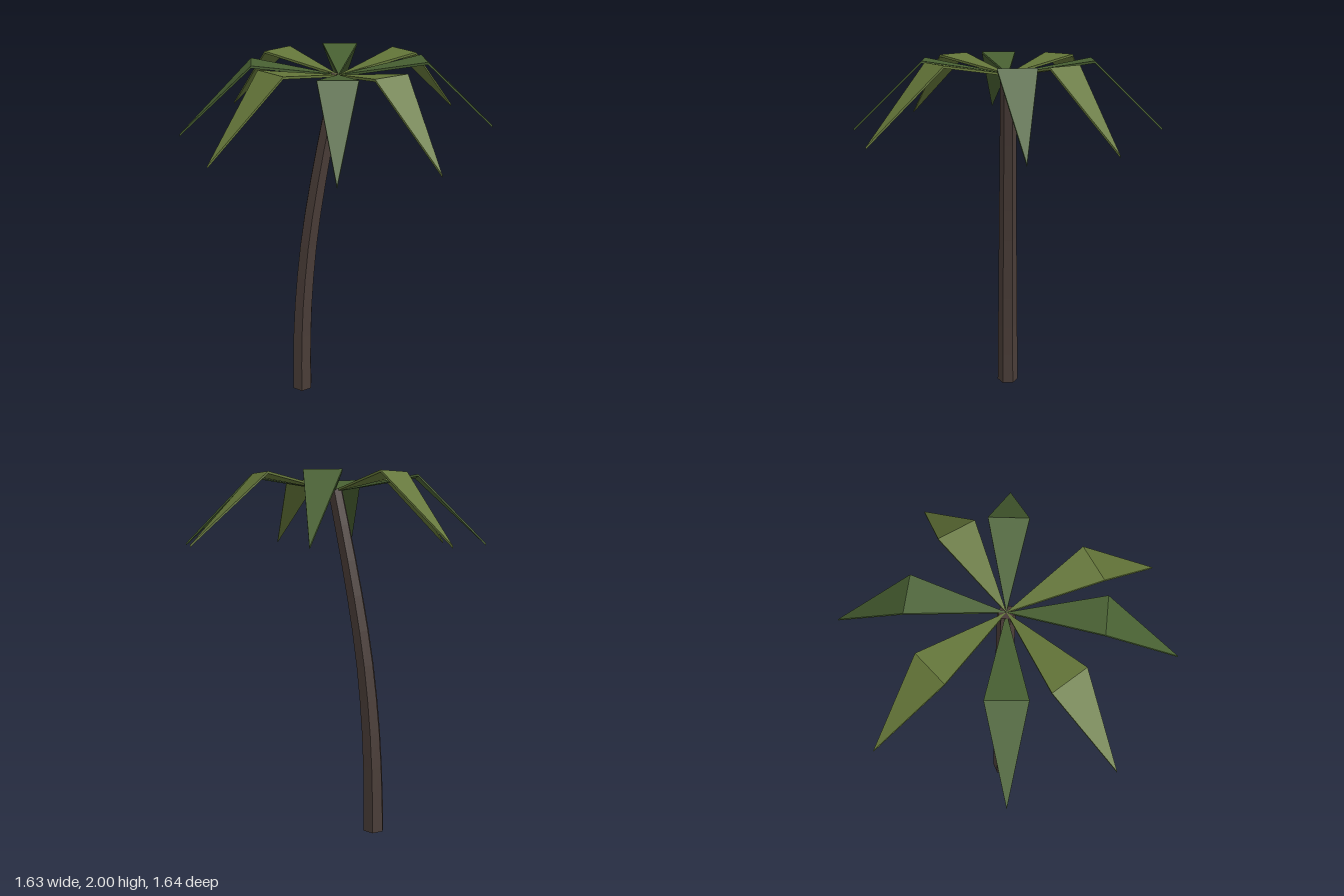
import * as THREE from 'three';

const bark = new THREE.MeshStandardMaterial({ name: 'bark', color: 0x4a3d38, flatShading: true });
const darkGreen = new THREE.MeshStandardMaterial({ name: 'darkGreen', color: 0x486032, flatShading: true });
const olive = new THREE.MeshStandardMaterial({ name: 'oliveGreen', color: 0x647639, flatShading: true });

// Hexagonal trunk: a straight tapered cylinder bent along a curve
function makeTrunk() {
  const curve = new THREE.CatmullRomCurve3([
    [-0.225, 0], [-0.219, 0.3], [-0.204, 0.6], [-0.165, 1.0], [-0.102, 1.4], [-0.035, 1.75], [0, 1.925],
  ].map(([x, y]) => new THREE.Vector3(x, y, 0)));
  const geo = new THREE.CylinderGeometry(0.041, 0.063, 1, 6, 10);
  const pos = geo.attributes.position;
  for (let i = 0; i < pos.count; i++) {
    const t = THREE.MathUtils.clamp(pos.getY(i) + 0.5, 0, 1);
    const p = curve.getPointAt(t);
    const d = curve.getTangentAt(t);
    const x = pos.getX(i);
    pos.setXYZ(i, p.x + x * d.y, Math.max(0, p.y - x * d.x), pos.getZ(i));
  }
  geo.computeVertexNormals();
  const trunk = new THREE.Mesh(geo, bark);
  trunk.name = 'trunk';
  return trunk;
}

// Thin kite-shaped leaf along +x, rising to a fold and then dropping to a point
function makeLeafGeometry() {
  const thickness = 0.012;
  const top = [[0, 1.925, 0], [0.437, 2, 0.095], [0.82, 1.64, 0], [0.437, 2, -0.095]];
  const bottom = top.map(([x, y, z]) => [x, y - thickness, z]);
  const tris = [];
  for (const [a, b, c] of [[0, 1, 3], [1, 2, 3]]) {
    tris.push(top[a], top[b], top[c], bottom[a], bottom[c], bottom[b]);
  }
  // Rim
  for (let i = 0; i < 4; i++) {
    const j = (i + 1) % 4;
    tris.push(bottom[i], bottom[j], top[j], bottom[i], top[j], top[i]);
  }
  const geo = new THREE.BufferGeometry();
  geo.setAttribute('position', new THREE.Float32BufferAttribute(tris.flat(), 3));
  geo.computeVertexNormals();
  return geo;
}

export function createModel() {
  const model = new THREE.Group();
  model.name = 'palmTree';
  model.add(makeTrunk());

  // Crown: eight leaves in alternating greens, angles in degrees from +x towards +z
  const crown = new THREE.Group();
  crown.name = 'crown';
  const leafGeo = makeLeafGeometry();
  [-4.7, 56, 90.3, 136.5, 173.7, 221.1, 270.7, 323].forEach((angle, i) => {
    const leaf = new THREE.Mesh(leafGeo, i % 2 ? olive : darkGreen);
    leaf.name = `leaf${i + 1}`;
    leaf.rotation.y = -THREE.MathUtils.degToRad(angle);
    crown.add(leaf);
  });
  model.add(crown);
  return model;
}
